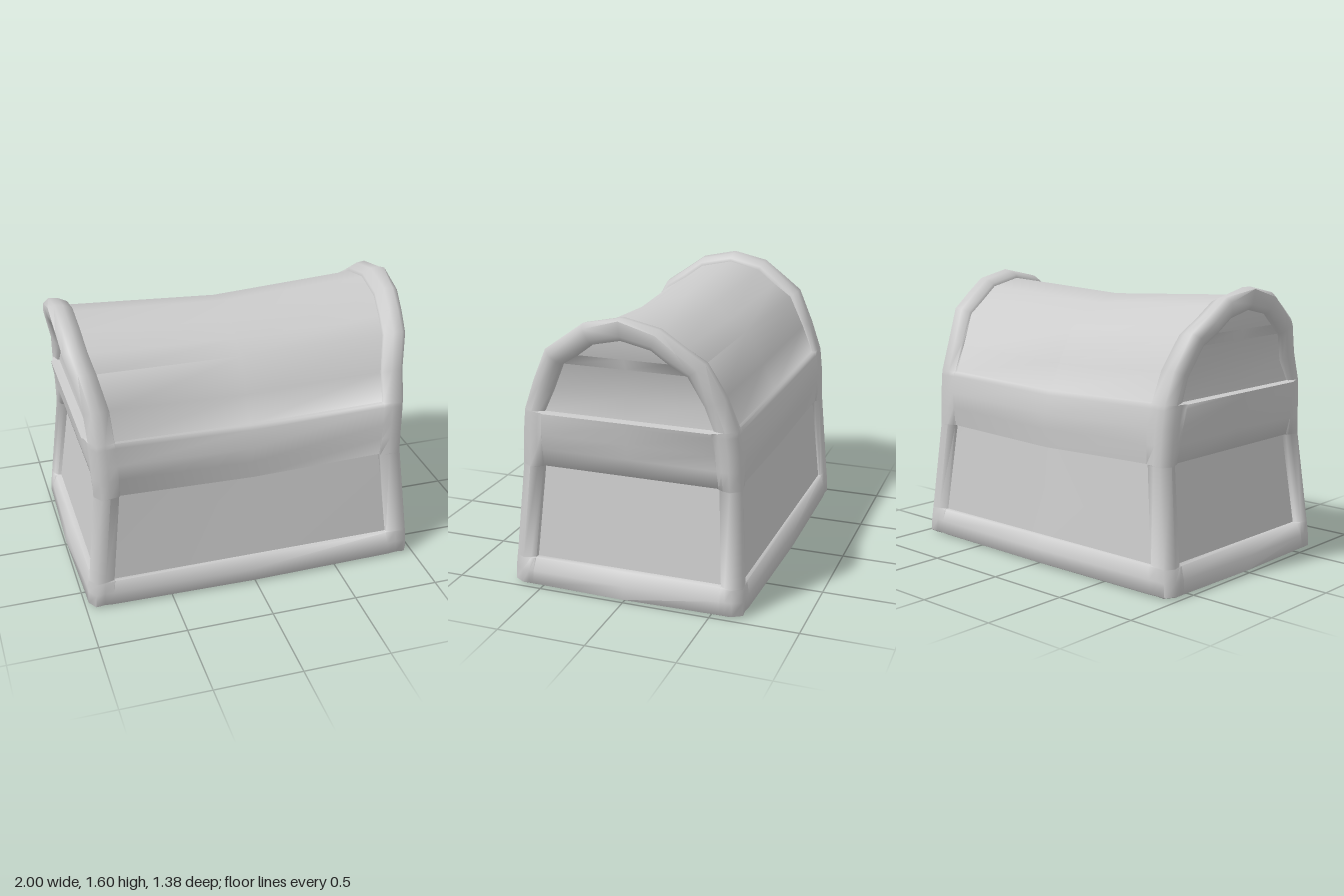
import * as THREE from 'three';
import { toCreasedNormals } from 'three/addons/utils/BufferGeometryUtils.js';

// Half outline from the base centre up to the crown:
// z, y, half length x, inset of the long panels, recess of the end panels, sag at mid length
const PROFILE = [
  [0.60, 0.00, 0.90, 0, 0, 0],
  [0.65, 0.00, 0.955, 0, 0, -0.01],
  [0.675, 0.015, 0.98, 0, 0, -0.015],
  [0.673, 0.09, 0.975, 0, 0, -0.012],
  [0.668, 0.16, 0.967, 0.012, 0.3, 0],
  [0.667, 0.164, 0.967, 0.03, 0.8, 0],
  [0.633, 0.69, 0.908, 0.038, 0.95, 0.01],
  [0.633, 0.694, 0.908, 0.022, 0.55, 0.01],
  [0.627, 0.80, 0.91, 0.008, 0.15, 0.01],
  [0.623, 0.89, 0.912, 0, -0.1, 0.008],
  [0.611, 0.99, 0.916, 0.01, -0.3, 0.018],
  [0.608, 1.015, 0.917, 0.014, -0.35, 0.02],
  [0.607, 1.019, 0.917, 0.028, 0.5, 0.02],
  [0.545, 1.19, 0.925, 0.035, 0.9, 0.03],
  [0.45, 1.38, 0.965, 0.045, 0.95, 0.04],
  [0.33, 1.465, 0.985, 0.05, 0.95, 0.045],
  [0.21, 1.55, 0.997, 0.05, 0.95, 0.045],
  [0, 1.595, 1.0, 0.05, 0.95, 0.045],
];
const LID_ROW = 11;

// Stations from an end panel, over its lip and the rim, onto the long panel:
// inset from the outline, share of the long panel inset, x offset, x offset scaled by the end recess
const RINGS = [
  [0.125, 0, 0, 0.06],
  [0.121, 0, 0, 0.035],
  [0.095, 0, 0, 0.015],
  [0.055, 0, 0, 0],
  [0, 0, 0.035, 0],
  [0.006, 0, 0.085, 0],
  [0, 0.6, 0.137, 0],
  [0, 1, 0.141, 0],
];
const BEVEL = 3; // station on the outer face of the rim, flatter towards the crown

// Inward direction of the outline in the z-y plane
function inward(j) {
  const y = PROFILE[j][1];
  if (y < 1.1) return [-1, 0];
  if (j === PROFILE.length - 1) return [0, -1];
  const a = PROFILE[j - 1], b = PROFILE[j + 1];
  const dz = b[0] - a[0], dy = b[1] - a[1], l = Math.hypot(dz, dy);
  return [-dy / l, dz / l];
}

// Point of the outline at length x, moved inwards by an amount
function inset(j, amount, x) {
  const [z, y] = PROFILE[j], n = inward(j);
  return [x, y + n[1] * amount, Math.max(0, z + n[0] * amount)];
}

// One closed cross-section: front half, then the mirrored back half
function ring(pointAt) {
  const half = PROFILE.map((_, j) => pointAt(j));
  const back = half.slice(0, -1).reverse().map(([x, y, z]) => [x, y, -z]);
  return half.concat(back);
}

function buildRings() {
  const end = RINGS.map(([depth, share, off, recess], r) => ring((j) => {
    const [z, , x, panel, e] = PROFILE[j];
    const scale = r === BEVEL ? 0.2 + 0.8 * Math.min(1, z / 0.6) : 1;
    return inset(j, depth * scale + share * panel, x - off - recess * e);
  }));
  // the end panel closes on its upright centre line, bulging a little at the base
  const spine = ring((j) => {
    const [x, y] = end[0][j];
    return [x + Math.max(0, -PROFILE[j][5]), y, 0];
  });
  const middle = ring((j) => {
    const [, y, , panel, , sag] = PROFILE[j];
    const q = inset(j, panel + sag, 0);
    if (y > 0.6 && y < 1.3) q[1] -= 0.025;
    return q;
  });
  const side = [spine, ...end];
  const mirrored = side.map((r) => r.map(([x, y, z]) => [-x, y, z])).reverse();
  return [...side, middle, ...mirrored];
}

export function createModel() {
  const group = new THREE.Group();
  group.name = 'chest';
  const rings = buildRings();
  const count = rings[0].length;
  const parts = { base: [], endPanels: [], rims: [], lid: [], walls: [] };

  const partOf = (i, j) => {
    const k = Math.min(i, rings.length - 2 - i);
    const row = Math.min(j, count - 2 - j);
    if (j === count - 1 || row === 0) return 'base';
    if (k === 0) return 'endPanels';
    if (k < RINGS.length) return 'rims';
    return row >= LID_ROW ? 'lid' : 'walls';
  };

  // Skin the cross-sections, sorting faces by part
  for (let i = 0; i < rings.length - 1; i++) {
    for (let j = 0; j < count; j++) {
      const a = i * count + j, b = i * count + (j + 1) % count;
      parts[partOf(i, j)].push(a, b, a + count, b, b + count, a + count);
    }
  }

  // Normals are worked out for the whole skin, so only the panel steps look sharp
  let skin = new THREE.BufferGeometry();
  skin.setAttribute('position', new THREE.Float32BufferAttribute(rings.flat(2), 3));
  skin.setIndex(Object.values(parts).flat());
  skin = toCreasedNormals(skin, 1.2);

  const material = new THREE.MeshStandardMaterial({ color: 0xcccccc });
  let start = 0;
  for (const [name, faces] of Object.entries(parts)) {
    const geometry = new THREE.BufferGeometry();
    for (const key of ['position', 'normal']) {
      const values = skin.attributes[key].array.slice(start * 3, (start + faces.length) * 3);
      geometry.setAttribute(key, new THREE.BufferAttribute(values, 3));
    }
    start += faces.length;
    const mesh = new THREE.Mesh(geometry, material);
    mesh.name = name;
    group.add(mesh);
  }
  return group;
}
